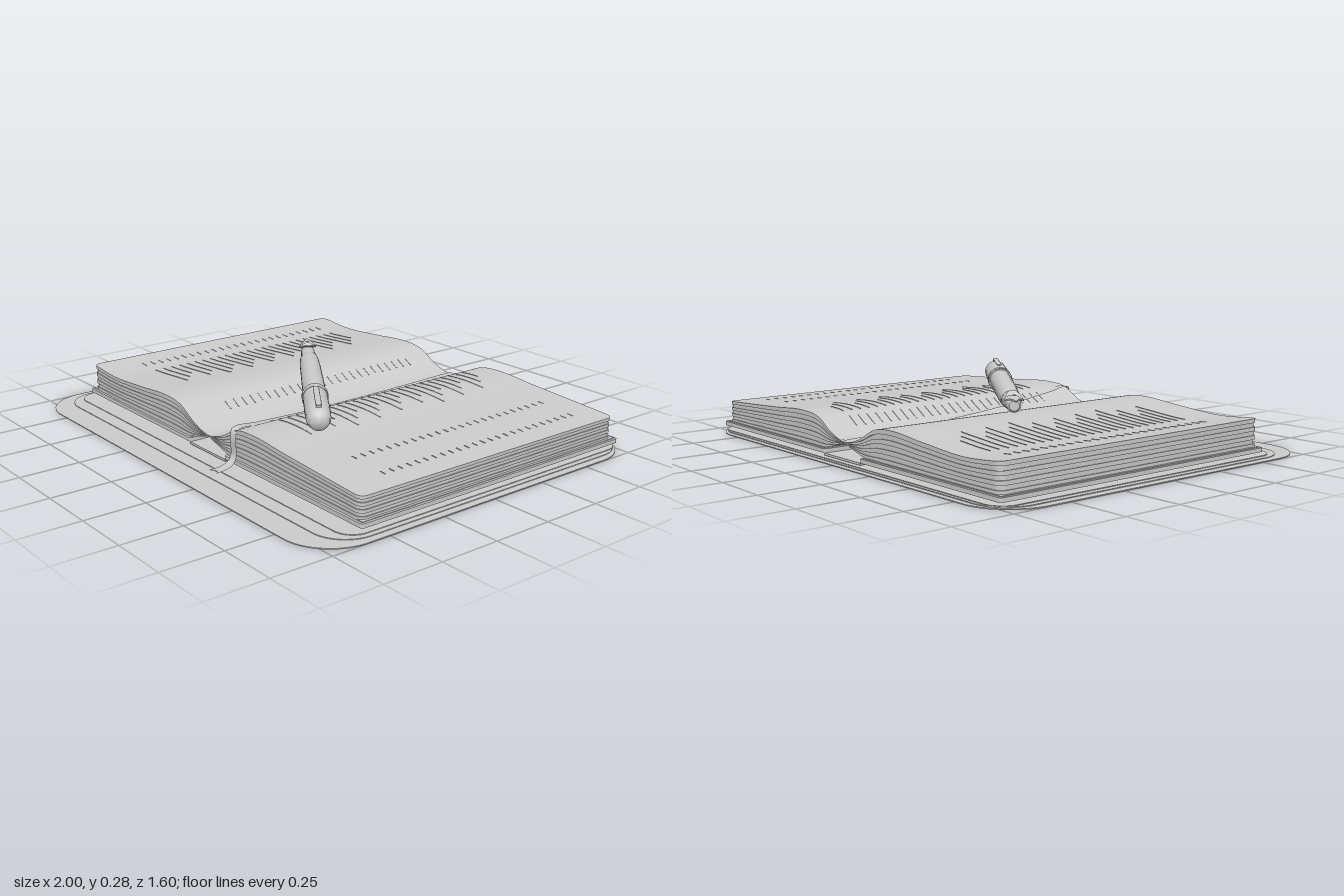
import * as THREE from 'three';
import { mergeGeometries, toCreasedNormals } from 'three/addons/utils/BufferGeometryUtils.js';

const grey = new THREE.MeshStandardMaterial({ color: 0xcccccc });
const thin = new THREE.MeshStandardMaterial({ color: 0xcccccc, side: THREE.DoubleSide });

function add(parent, name, geometry, x = 0, y = 0, z = 0, material = grey) {
  const mesh = new THREE.Mesh(geometry, material);
  mesh.name = name;
  mesh.position.set(x, y, z);
  parent.add(mesh);
  return mesh;
}

// Smooth height rule through a few [x, y] points
function heightRule(points) {
  const xs = points.map((p) => p[0]), ys = points.map((p) => p[1]);
  const cubic = new THREE.CubicInterpolant(xs, ys, 1, new Float32Array(1));
  return (x) => cubic.evaluate(x)[0];
}
const topY = heightRule([[-0.92, 0.155], [-0.73, 0.142], [-0.5, 0.156], [-0.3, 0.17], [-0.2, 0.158],
  [-0.1, 0.108], [0, 0.084], [0.1, 0.112], [0.18, 0.156], [0.3, 0.169], [0.5, 0.156], [0.92, 0.13]]);
const baseY = (x) => 0.04 + 0.04 * Math.pow(1 - THREE.MathUtils.smoothstep(Math.abs(x), -0.08, 0.18), 1.0) * 1.25;

const PAGE_Z = -0.088, PAGE_HALF = 0.653, PAGE_X = 0.92;

// Flat sheet with rounded corners
function roundedSheet(w, z0, z1, r, thickness) {
  const s = new THREE.Shape();
  s.moveTo(-w + r, z0);
  s.lineTo(w - r, z0);
  s.absarc(w - r, z0 + r, r, -Math.PI / 2, 0);
  s.absarc(w - r, z1 - r, r, 0, Math.PI / 2);
  s.absarc(-w + r, z1 - r, r, Math.PI / 2, Math.PI);
  s.absarc(-w + r, z0 + r, r, Math.PI, Math.PI * 1.5);
  const g = new THREE.ExtrudeGeometry(s, { depth: thickness, bevelEnabled: false, curveSegments: 12 });
  g.rotateX(Math.PI / 2);
  return g.translate(0, thickness, 0);
}

// One stratum of a page block, lofted along x with rounded outer corners
function pageSlab(side, f0, f1, inset) {
  const r = 0.03, outer = PAGE_X - inset, sections = [];
  for (let i = 0; i <= 44; i++) sections.push([(outer - r) * i / 44, PAGE_HALF - inset]);
  for (let i = 1; i <= 6; i++) {
    const a = i / 6 * Math.PI / 2;
    sections.push([outer - r + r * Math.sin(a), PAGE_HALF - inset - r + r * Math.cos(a)]);
  }
  if (side < 0) sections.reverse();
  const pos = [], idx = [];
  for (const [ax, half] of sections) {
    const x = ax * side, b = baseY(x), t = Math.max(topY(x), b + 0.002);
    const lo = b + (t - b) * f0, hi = b + (t - b) * f1;
    pos.push(x, lo, PAGE_Z + half, x, lo, PAGE_Z - half, x, hi, PAGE_Z - half, x, hi, PAGE_Z + half);
  }
  const last = (sections.length - 1) * 4;
  for (let i = 0; i < last; i += 4) {
    for (let j = 0; j < 4; j++) {
      const a = i + j, b = i + (j + 1) % 4;
      idx.push(a, b, b + 4, a, b + 4, a + 4);
    }
  }
  idx.push(2, 1, 0, 3, 2, 0, last, last + 1, last + 2, last, last + 2, last + 3);
  const g = new THREE.BufferGeometry();
  g.setAttribute('position', new THREE.Float32BufferAttribute(pos, 3));
  g.setIndex(idx);
  return toCreasedNormals(g, 0.6);
}

// Faint raised rule that follows the page surface
function pageRule(x0, x1, z) {
  const g = new THREE.BoxGeometry(x1 - x0, 0.003, 0.004, 6, 1, 1);
  g.translate((x0 + x1) / 2, 0, z);
  const p = g.attributes.position;
  for (let i = 0; i < p.count; i++) p.setY(i, p.getY(i) + topY(p.getX(i)) + 0.0005);
  return g;
}

function ribbonGeometry() {
  const path = [];
  for (let i = 0; i <= 10; i++) {
    const u = i / 10, x = 0.015 + 0.11 * u + 0.05 * u * u;
    path.push(new THREE.Vector3(x, topY(x) + 0.005, -0.74 + 1.3 * u));
  }
  [[0.182, 0.13, 0.574], [0.186, 0.06, 0.576], [0.19, 0.036, 0.592], [0.196, 0.026, 0.625], [0.206, 0.026, 0.685]]
    .forEach((p) => path.push(new THREE.Vector3(...p)));
  const curve = new THREE.CatmullRomCurve3(path, false, 'centripetal');
  const pos = [], idx = [], n = 90;
  for (let i = 0; i <= n; i++) {
    const p = curve.getPoint(i / n), w = 0.019 + 0.006 * Math.max(0, i / n - 0.85) / 0.15;
    const notch = i === n ? 0.022 : 0; // swallowtail end
    pos.push(p.x - w, p.y, p.z, p.x, p.y, p.z - notch, p.x + w, p.y, p.z);
    if (i < n) {
      for (const k of [i * 3, i * 3 + 1]) idx.push(k, k + 3, k + 1, k + 1, k + 3, k + 4);
    }
  }
  const g = new THREE.BufferGeometry();
  g.setAttribute('position', new THREE.Float32BufferAttribute(pos, 3));
  g.setIndex(idx);
  g.computeVertexNormals();
  return g;
}

// Turned part along the pen axis from [t, radius] points
function turned(points) {
  const g = new THREE.LatheGeometry(points.map(([t, r]) => new THREE.Vector2(r, t)), 32);
  return toCreasedNormals(g.rotateZ(-Math.PI / 2), 0.7);
}

function createPen() {
  const pen = new THREE.Group();
  pen.name = 'fountainPen';
  add(pen, 'grip', turned([[-0.985, 0], [-0.985, 0.02], [-0.975, 0.028], [-0.95, 0.03], [-0.9, 0.032], [-0.83, 0.037]]));
  add(pen, 'barrel', turned([[-0.845, 0.03], [-0.84, 0.037], [-0.81, 0.041], [-0.7, 0.044], [-0.5, 0.046], [-0.29, 0.046]]));
  add(pen, 'cap', turned([[-0.3, 0.04], [-0.3, 0.049], [-0.15, 0.05], [-0.05, 0.048], [-0.02, 0.041], [-0.006, 0.028], [0, 0]]));
  add(pen, 'capBand', turned([[-0.325, 0.045], [-0.325, 0.051], [-0.32, 0.053], [-0.295, 0.053], [-0.29, 0.051], [-0.29, 0.045]]));

  // Clip with a rounded end
  const clip = new THREE.CapsuleGeometry(0.012, 0.2, 6, 12).rotateZ(Math.PI / 2).scale(1, 0.45, 1);
  add(pen, 'clip', clip, -0.145, 0.057, 0).rotation.z = -0.01;
  add(pen, 'clipMount', new THREE.BoxGeometry(0.025, 0.02, 0.02), -0.05, 0.049, 0);

  // Leaf-shaped nib, arched across its width
  const s = new THREE.Shape();
  s.moveTo(-0.14, 0);
  s.quadraticCurveTo(-0.09, 0.018, -0.05, 0.038);
  s.quadraticCurveTo(-0.01, 0.032, 0.03, 0.012);
  s.lineTo(0.03, -0.012);
  s.quadraticCurveTo(-0.01, -0.032, -0.05, -0.038);
  s.quadraticCurveTo(-0.09, -0.018, -0.14, 0);
  const hole = new THREE.Path();
  hole.absarc(-0.05, 0, 0.007, 0, Math.PI * 2);
  s.holes.push(hole);
  const nib = new THREE.ExtrudeGeometry(s, { depth: 0.006, bevelEnabled: false, curveSegments: 10 }).rotateX(-Math.PI / 2);
  const p = nib.attributes.position;
  for (let i = 0; i < p.count; i++) p.setY(i, p.getY(i) - 14 * p.getZ(i) ** 2);
  nib.computeVertexNormals();
  add(pen, 'nib', nib, -0.93, 0.041, 0, thin).rotation.z = 0.1;
  const feed = new THREE.ConeGeometry(0.016, 0.1, 16).rotateZ(Math.PI / 2).scale(1, 0.6, 1);
  add(pen, 'feed', feed, -0.985, 0.022, 0);

  pen.rotation.set(0, -0.615, 0.012);
  pen.position.set(0.452, 0.222, 0.372);
  return pen;
}

export function createModel() {
  const model = new THREE.Group();
  model.name = 'openNotebook';

  // Stacked sheets under the book
  add(model, 'baseMat', roundedSheet(1, -0.8, 0.8, 0.2, 0.004));
  add(model, 'middleMat', roundedSheet(0.97, -0.78, 0.7, 0.14, 0.003), 0, 0.005);
  add(model, 'upperMat', roundedSheet(0.95, -0.77, 0.64, 0.08, 0.003), 0, 0.009);

  // Covers and spine
  for (const side of [-1, 1]) {
    const label = side > 0 ? 'left' : 'right';
    add(model, label + 'Cover', roundedSheet(0.41, -0.665, 0.665, 0.012, 0.017), side * 0.53, 0.024, -0.09);
    add(model, label + 'Endpaper', new THREE.BoxGeometry(0.8, 0.004, 1.31), side * 0.53, 0.042, -0.09);
    const slabs = [];
    for (let k = 0; k < 7; k++) slabs.push(pageSlab(side, k / 7, (k + 1) / 7, k % 2 ? 0.004 : 0));
    add(model, label + 'Pages', mergeGeometries(slabs));
  }
  add(model, 'spine', new THREE.BoxGeometry(0.25, 0.009, 1.33), 0, 0.02, -0.09);
  for (let i = 0; i < 5; i++) {
    add(model, 'spineBand', new THREE.BoxGeometry(0.2, 0.006, 0.025), 0, 0.017, 0.41 - i * 0.248);
  }

  // Faint rules on both pages, with ragged ends
  const rules = [];
  for (let i = 0; i < 25; i++) {
    const z = -0.61 + i * 0.041, ragged = ((i * 37) % 11) / 11;
    rules.push(pageRule(-0.82, -0.785, z), pageRule(-0.71, -0.55 + 0.14 * ragged, z), pageRule(-0.165, -0.125, z));
    rules.push(pageRule(0.11, 0.165, z), pageRule(0.21, 0.3 + 0.15 * ragged, z), pageRule(0.645, 0.67, z), pageRule(0.8, 0.825, z));
  }
  add(model, 'pageRules', mergeGeometries(rules));

  add(model, 'ribbonBookmark', ribbonGeometry(), 0, 0, 0, thin);
  model.add(createPen());
  return model;
}
